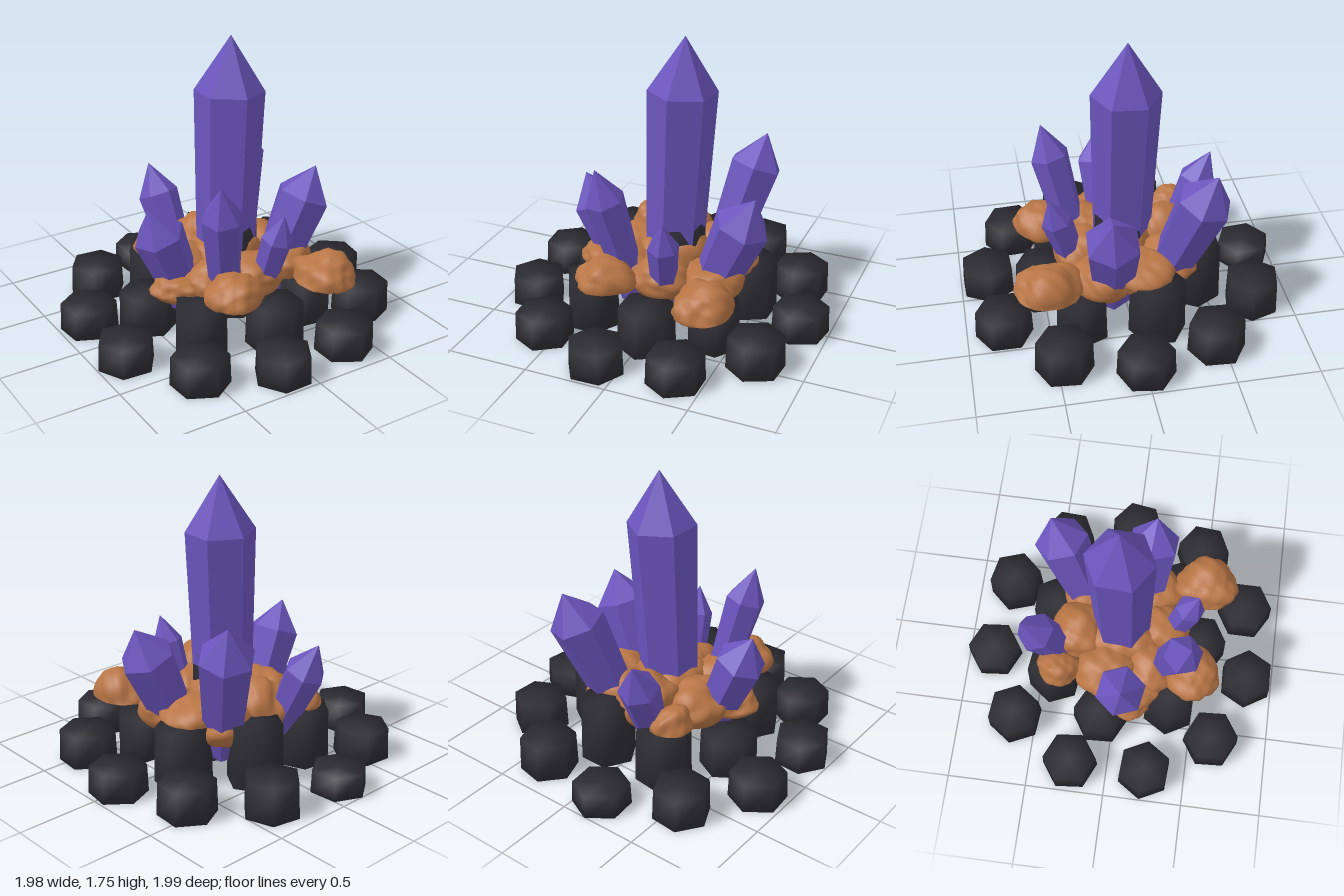
import * as THREE from 'three';
import { mergeVertices } from 'three/addons/utils/BufferGeometryUtils.js';

const mat = (name, color, flatShading = false) => {
  const m = new THREE.MeshStandardMaterial({ color, flatShading });
  m.name = name;
  return m;
};

// Weld a geometry so its normals run smoothly across every edge
function weld(geometry) {
  geometry.deleteAttribute('normal');
  geometry.deleteAttribute('uv');
  const g = mergeVertices(geometry, 1e-4);
  g.computeVertexNormals();
  return g;
}

// Six-sided basalt column standing on the ground
function columnGeometry(h, r = 0.174) {
  const g = weld(new THREE.CylinderGeometry(r * 0.96, r, h, 6));
  g.translate(0, h / 2, 0);
  return g;
}

// Tapered six-sided crystal with a pointed tip, growing along +y
function crystalGeometry(length, tip, rBase, rShoulder) {
  const profile = [[0, 0], [rBase, 0], [rShoulder, length - tip], [0, length]];
  return new THREE.LatheGeometry(profile.map(p => new THREE.Vector2(...p)), 6);
}

// Lumpy rock: bumpy dome above its middle, smooth bowl or flat base below
function rockGeometry(rx, rz, up, down, seed) {
  const g = weld(new THREE.IcosahedronGeometry(1, 7));
  const p = g.attributes.position, v = new THREE.Vector3();
  for (let i = 0; i < p.count; i++) {
    v.fromBufferAttribute(p, i);
    const n = 0.5 * Math.sin(3.1 * v.x + seed) * Math.sin(3.7 * v.z + seed * 2.3)
      + 0.35 * Math.sin(5.3 * v.y + 4.1 * v.x + seed * 1.7)
      + 0.3 * Math.abs(Math.sin(6.1 * v.z - 4.7 * v.y + seed * 3.1))
      + 0.15 * Math.sin(11 * v.x + 9 * v.z + seed);
    const bump = 1 + 0.17 * n * THREE.MathUtils.smoothstep(v.y, -0.4, 0.2);
    p.setXYZ(i, v.x * rx * bump, v.y > 0 ? v.y * up * bump : v.y * down, v.z * rz * bump);
  }
  g.computeVertexNormals();
  return g;
}

export function createModel() {
  const model = new THREE.Group();
  model.name = 'crystalCluster';
  const basalt = mat('basalt', 0x2c2c33);
  const clay = mat('clay', 0xb87545);
  const violet = mat('violetCrystal', 0x6a55bd, true);

  const add = (name, geometry, material, x, y, z) => {
    const mesh = new THREE.Mesh(geometry, material);
    mesh.name = name;
    mesh.position.set(x, y, z);
    model.add(mesh);
    return mesh;
  };

  // Outer ring of low columns: x, z, height, turn
  const outer = [
    [-0.14, -0.83, 0.14, 0.09], [0.335, -0.76, 0.22, 0.32], [0.69, -0.45, 0.2, -0.06],
    [0.825, 0, 0.17, -0.15], [0.7, 0.46, 0.2, -0.09], [0.335, 0.775, 0.18, 0],
    [-0.135, 0.83, 0.175, 0.55], [-0.565, 0.64, 0.18, 0.06], [-0.82, 0.24, 0.175, 0.46],
    [-0.82, -0.235, 0.175, 0.09], [-0.565, -0.63, 0.2, 0.43],
  ];
  // Inner ring and hidden middle column
  const inner = [
    [-0.265, -0.41, 0.34, 0.4], [0.145, -0.43, 0.38, 0.52], [0.45, -0.14, 0.35, -0.05],
    [-0.5, -0.08, 0.235, 0.05], [-0.38, 0.35, 0.32, 0.5], [0.035, 0.495, 0.27, 0],
    [0.385, 0.31, 0.27, 0.4], [0.03, 0, 0.585, 0],
  ];
  for (const [list, name] of [[outer, 'outerColumn'], [inner, 'innerColumn']])
    for (const [x, z, h, turn] of list)
      add(name, columnGeometry(h), basalt, x, 0, z).rotation.y = turn;

  // Rocks: x, middle y, z, radius x, radius z, rise, drop
  const rocks = [
    [0.39, 0.325, 0.5, 0.175, 0.195, 0.155, 0.01],
    [-0.235, 0.35, 0.47, 0.165, 0.16, 0.155, 0.01],
    [-0.3, 0.345, -0.37, 0.11, 0.13, 0.13, 0.01],
    [-0.04, 0.36, -0.27, 0.18, 0.19, 0.17, 0.16],
    [-0.25, 0.32, -0.07, 0.19, 0.19, 0.16, 0.13],
    [-0.36, 0.31, 0.1, 0.19, 0.16, 0.1, 0.09],
    [-0.2, 0.33, 0.2, 0.19, 0.17, 0.14, 0.12],
    [0.03, 0.33, 0.24, 0.19, 0.19, 0.14, 0.13],
    [0.32, 0.32, 0.16, 0.18, 0.18, 0.12, 0.13],
    [0.32, 0.33, -0.08, 0.18, 0.18, 0.13, 0.13],
    [0.22, 0.32, -0.24, 0.18, 0.18, 0.15, 0.13],
    [0, 0.34, 0, 0.22, 0.22, 0.2, 0.12],
  ];
  rocks.forEach(([x, y, z, rx, rz, up, down], i) =>
    add('clayRock', rockGeometry(rx, rz, up, down, i * 1.37 + 0.6), clay, x, y, z));

  // Crystals: base point, tip point, tip length, base radius, shoulder radius, turn
  const crystals = [
    ['mainCrystal', [0, 0.18, 0], [0.06, 1.75, -0.03], 0.33, 0.17, 0.209, -0.06],
    ['backLeftCrystal', [0.2, 0.15, -0.21], [0.42, 1.035, -0.49], 0.21, 0.12, 0.17, 0.2],
    ['leftCrystal', [0.25, 0.15, 0.1], [0.565, 0.89, 0.145], 0.2, 0.125, 0.17, 0.45],
    ['frontCrystal', [0.06, 0.18, 0.28], [0.12, 0.785, 0.455], 0.17, 0.07, 0.095, 0.1],
    ['frontRightCrystal', [-0.15, 0.18, 0.25], [-0.305, 1.05, 0.44], 0.21, 0.085, 0.122, 0.3],
    ['rightCrystal', [-0.29, 0.17, 0.03], [-0.555, 0.83, 0.055], 0.19, 0.115, 0.155, 0.35],
    ['backRightCrystal', [-0.12, 0.18, -0.32], [-0.19, 0.81, -0.6], 0.2, 0.09, 0.125, 0.15],
  ];
  const up = new THREE.Vector3(0, 1, 0);
  for (const [name, base, tip, tipLength, rBase, rShoulder, turn] of crystals) {
    const axis = new THREE.Vector3(...tip).sub(new THREE.Vector3(...base));
    const mesh = add(name, crystalGeometry(axis.length(), tipLength, rBase, rShoulder), violet, ...base);
    mesh.quaternion.setFromUnitVectors(up, axis.normalize());
    mesh.rotateY(turn);
  }
  return model;
}
